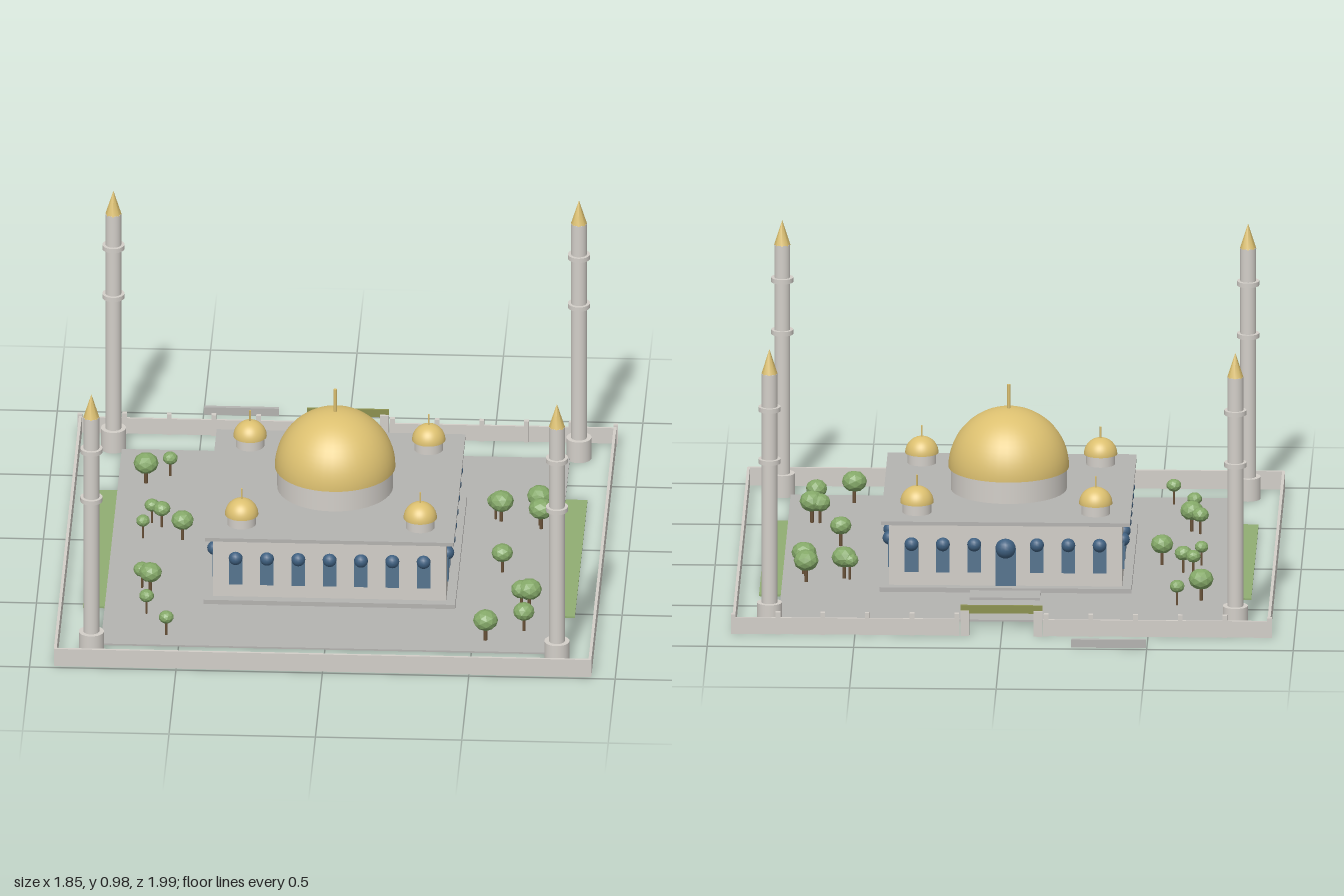
import * as THREE from 'three';

export function createModel() {
  const model = new THREE.Group();
  const ZC = 0.075; // centre of the whole precinct
  const mat = (name, color) => {
    const m = new THREE.MeshStandardMaterial({ color });
    m.name = name;
    return m;
  };
  const stone = mat('pale stone', 0xd2cec8);
  const paving = mat('paving', 0xb4b3b0);
  const gold = mat('gold', 0xdcc070);
  const glass = mat('window blue', 0x56748e);
  const archBlue = mat('arch blue', 0x3f6080);
  const grass = mat('grass', 0x90ad72);
  const leaf = mat('leaf', 0x84a868);
  const bark = mat('bark', 0x6a5238);
  const bronze = mat('olive bronze', 0x8c9150);
  const leafFlat = leaf;
  leafFlat.flatShading = true;

  const add = (parent, name, geo, material, x, y, z) => {
    const mesh = new THREE.Mesh(geo, material);
    mesh.name = name;
    mesh.position.set(x, y, z);
    parent.add(mesh);
    return mesh;
  };
  // box given by its ground-level centre and its bottom and top heights
  const box = (parent, name, material, x, z, w, d, y0, y1) =>
    add(parent, name, new THREE.BoxGeometry(w, y1 - y0, d), material, x, (y0 + y1) / 2, z);
  const cyl = (parent, name, material, x, z, r, y0, y1, sides = 24) =>
    add(parent, name, new THREE.CylinderGeometry(r, r, y1 - y0, sides), material, x, (y0 + y1) / 2, z);
  const group = (name) => {
    const g = new THREE.Group();
    g.name = name;
    model.add(g);
    return g;
  };

  // Ground: paved court over two lawns
  const ground = group('ground');
  box(ground, 'plaza', paving, 0, 0.07, 1.53, 1.52, 0.006, 0.012);
  for (const s of [-1, 1]) box(ground, 'lawn', grass, s * 0.64, ZC, 0.4, 0.91, 0, 0.006);

  // Enclosing wall, with a lower post-and-panel wall and a gate at the back
  const wall = group('enclosingWall');
  const back = -0.84;
  box(wall, 'frontWall', stone, 0, 0.984, 1.83, 0.01, 0, 0.065);
  for (const s of [-1, 1]) {
    box(wall, 'sideWall', stone, s * 0.913, 0.0725, 0.01, 1.825, 0, 0.065);
    box(wall, 'backWall', stone, s * 0.53, back, 0.775, 0.008, 0, 0.058);
    for (let i = 1; i <= 6; i++) {
      box(wall, 'fencePost', stone, s * 0.1525 * i, back, 0.016, 0.016, 0, i === 6 ? 0.07 : 0.078);
    }
    box(wall, 'gatePost', stone, s * 0.125, back, 0.03, 0.024, 0, 0.09);
  }
  box(wall, 'gateBeam', bronze, 0, back - 0.003, 0.28, 0.008, 0.08, 0.108);
  box(wall, 'entranceSign', paving, -0.37, -0.992, 0.255, 0.014, 0.005, 0.033);

  // Prayer hall: plinth, walls, roof slab and rear step
  const hall = group('prayerHall');
  box(hall, 'plinth', paving, 0, ZC, 0.86, 0.86, 0, 0.028);
  box(hall, 'hallWalls', stone, 0, ZC, 0.796, 0.796, 0.028, 0.247);
  box(hall, 'roofSlab', paving, 0, ZC, 0.85, 0.85, 0.247, 0.26);
  box(hall, 'entranceStep', paving, 0, -0.4, 0.24, 0.09, 0.008, 0.02);

  // Seven arched windows on each side; the middle one at the back is the door
  const archGeo = new THREE.SphereGeometry(0.024, 16, 10);
  for (let side = 0; side < 4; side++) {
    const face = new THREE.Group();
    face.name = 'windowRow';
    face.position.z = ZC;
    face.rotation.y = (side * Math.PI) / 2;
    hall.add(face);
    for (let i = -3; i <= 3; i++) {
      const x = i * 0.107;
      if (side === 2 && i === 0) {
        box(face, 'door', glass, x, 0.399, 0.07, 0.009, 0.028, 0.16);
        add(face, 'doorArch', new THREE.SphereGeometry(0.035, 16, 10), archBlue, x, 0.16, 0.398);
      } else {
        box(face, 'window', glass, x, 0.399, 0.046, 0.009, 0.075, 0.173);
        add(face, 'windowArch', archGeo, archBlue, x, 0.173, 0.398);
      }
    }
  }

  // Domes on drums, each with a finial
  const dome = (name, x, z, drumR, domeR, drumTop, tip, finialR) => {
    const g = group(name);
    cyl(g, 'drum', stone, x, z, drumR, 0.258, drumTop, 40);
    add(g, 'domeShell', new THREE.SphereGeometry(domeR, 40, 16, 0, Math.PI * 2, 0, Math.PI / 2),
      gold, x, drumTop, z);
    const rim = add(g, 'domeUnderside', new THREE.CircleGeometry(domeR, 40), gold, x, drumTop, z);
    rim.rotation.x = Math.PI / 2;
    cyl(g, 'finial', gold, x, z, finialR, drumTop + domeR - 0.005, tip, 8);
  };
  dome('mainDome', 0, ZC, 0.198, 0.206, 0.338, 0.628, 0.006);
  for (const sx of [-1, 1]) for (const sz of [-1, 1]) {
    dome('cornerDome', sx * 0.305, ZC + sz * 0.305, 0.049, 0.057, 0.296, 0.392, 0.003);
  }

  // Four minarets
  for (const sx of [-1, 1]) for (const sz of [-1, 1]) {
    const g = group('minaret');
    const x = sx * 0.795, z = ZC + sz * 0.795;
    cyl(g, 'minaretBase', stone, x, z, 0.043, 0, 0.078);
    cyl(g, 'shaft', stone, x, z, 0.027, 0.078, 0.89);
    for (const y of [0.58, 0.765]) cyl(g, 'balcony', stone, x, z, 0.038, y - 0.008, y + 0.008);
    add(g, 'spire', new THREE.ConeGeometry(0.028, 0.088, 8), gold, x, 0.932, z);
  }

  // Trees: x, z, crown radius
  const trees = [
    [-0.67, -0.43, 0.043], [-0.59, -0.49, 0.026], [-0.635, -0.12, 0.026], [-0.6, -0.09, 0.03],
    [-0.66, 0, 0.024], [-0.525, 0.005, 0.039], [-0.645, 0.386, 0.03], [-0.615, 0.418, 0.04],
    [-0.62, 0.587, 0.026], [-0.545, 0.75, 0.026], [0.535, -0.206, 0.03], [0.555, -0.19, 0.043],
    [0.683, -0.238, 0.043], [0.688, -0.165, 0.032], [0.693, -0.138, 0.043], [0.577, 0.206, 0.037],
    [0.656, 0.487, 0.037], [0.683, 0.492, 0.043], [0.672, 0.66, 0.037], [0.545, 0.74, 0.043],
  ];
  trees.forEach(([x, z, r], i) => {
    const g = group('tree');
    const y = 0.066 + 0.5 * r;
    cyl(g, 'trunk', bark, x, z, r * 0.16, 0.01, y, 6);
    const crown = add(g, 'crown', new THREE.IcosahedronGeometry(r, 1), leaf, x, y, z);
    crown.scale.y = 0.85;
    crown.rotation.y = i * 1.3;
  });

  return model;
}
